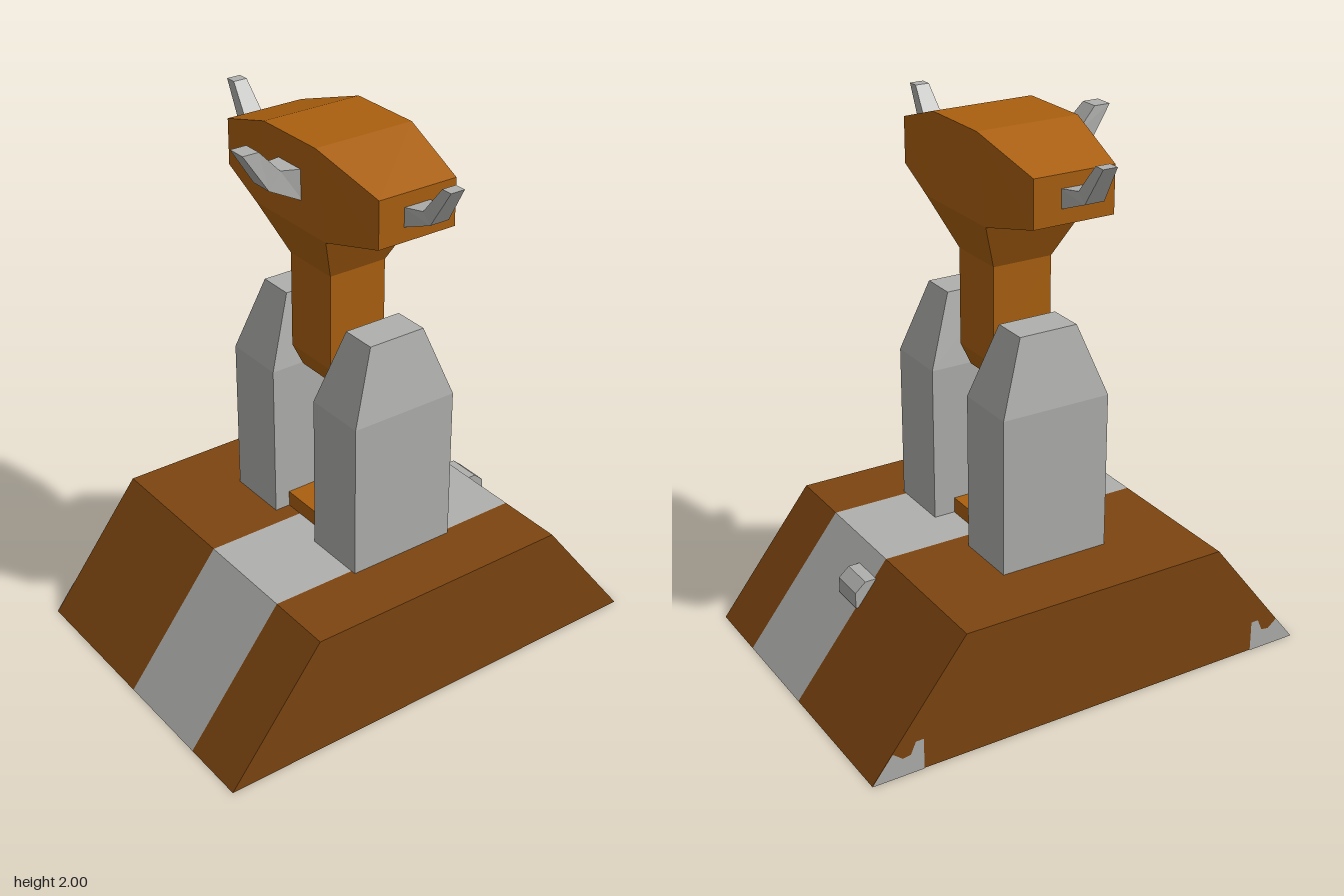
import * as THREE from 'three';

const material = (name, color) => {
  const m = new THREE.MeshStandardMaterial({ color, side: THREE.DoubleSide });
  m.name = name;
  return m;
};

// Skins a list of cross-section rings, flat shaded, with optional end caps
function loft(rings, { closed = true, start = true, end = true } = {}) {
  const pos = [];
  const tri = (...pts) => pts.forEach((p) => pos.push(...p));
  const n = rings[0].length;
  for (let r = 0; r + 1 < rings.length; r++) {
    const a = rings[r], b = rings[r + 1];
    for (let i = 0; i < (closed ? n : n - 1); i++) {
      const j = (i + 1) % n;
      tri(a[i], a[j], b[j]);
      tri(a[i], b[j], b[i]);
    }
  }
  const last = rings[rings.length - 1];
  for (let i = 1; i + 1 < n; i++) {
    if (start) tri(rings[0][0], rings[0][i + 1], rings[0][i]);
    if (end) tri(last[0], last[i], last[i + 1]);
  }
  const g = new THREE.BufferGeometry();
  g.setAttribute('position', new THREE.Float32BufferAttribute(pos, 3));
  g.computeVertexNormals();
  return g;
}

// Horizontal rectangle at height y
const rectY = (y, x0, x1, z0, z1) => [[x1, y, z1], [x1, y, z0], [x0, y, z0], [x0, y, z1]];

// Upright rectangle facing z, whose lower and upper edges may lie at different z
const rectZ = (w, zb, yb, zt, yt) => [[w, yb, zb], [w, yt, zt], [-w, yt, zt], [-w, yb, zb]];

export function createModel() {
  const brown = material('brown base paint', 0x7d4510);
  const orange = material('orange paint', 0xaa600f);
  const grey = material('grey stone', 0xafafad);

  const model = new THREE.Group();
  const add = (name, geometry, mat, parent = model) => {
    const mesh = new THREE.Mesh(geometry, mat);
    mesh.name = name;
    parent.add(mesh);
    return mesh;
  };

  // Sloped base, open underneath, banded along z
  const base = new THREE.Group();
  base.name = 'base';
  model.add(base);
  const baseRing = (z) => [[0.885, 0, z], [0.52, 0.47, z], [-0.52, 0.47, z], [-0.885, 0, z]];
  const band = (name, z0, z1, mat, start, end) =>
    add(name, loft([baseRing(z0), baseRing(z1)], { closed: false, start, end }), mat, base);
  band('baseBack', -0.62, -0.05, brown, true, false);
  band('baseStripe', -0.05, 0.35, grey, false, false);
  band('baseFront', 0.35, 0.605, brown, false, true);

  // Worn grey patches at the lower corners of the back wall
  const patch = [[0.885, 0], [0.807, 0.1], [0.77, 0.07], [0.74, 0.075], [0.72, 0.12], [0.69, 0.12], [0.69, 0]];
  for (const s of [-1, 1]) {
    const shape = new THREE.Shape(patch.map(([x, y]) => new THREE.Vector2(s * x, y)));
    const mesh = add('cornerPatch', new THREE.ShapeGeometry(shape), grey, base);
    mesh.rotation.y = Math.PI;
    mesh.position.z = -0.623;
  }

  // Pair of tapered pillars
  for (const [name, z] of [['frontPillar', 0.248], ['backPillar', -0.24]]) {
    add(name, loft([
      rectY(0.465, -0.2, 0.222, z - 0.121, z + 0.121),
      rectY(1.06, -0.2, 0.222, z - 0.121, z + 0.121),
      rectY(1.325, -0.1, 0.125, z - 0.068, z + 0.068),
    ]), grey);
  }

  // Post standing through the base, with its side arm
  add('centrePost', loft([
    rectY(0, -0.07, 0.07, -0.07, 0.07),
    rectY(0.14, -0.14, 0.14, -0.125, 0.125),
    rectY(0.53, -0.14, 0.14, -0.125, 0.125),
  ]), orange);
  const arm = add('sideArm', new THREE.BoxGeometry(0.33, 0.22, 0.22), orange);
  arm.position.set(0.28, 0.31, 0);

  // Knob on the sloped side
  const knob = [[0.56, 0.315], [0.65, 0.315], [0.65, 0.375], [0.61, 0.41], [0.56, 0.41]];
  add('sideKnob', loft([-0.062, 0.068].map((z) => knob.map(([x, y]) => [x, y, z]))), grey);

  // Neck with a tapered lower end and a flared collar
  add('neck', loft([
    rectY(1.075, -0.09, 0.085, -0.09, 0.09),
    rectY(1.15, -0.118, 0.112, -0.115, 0.115),
    rectY(1.51, -0.118, 0.112, -0.115, 0.115),
    rectY(1.69, -0.198, 0.192, -0.2, 0.2),
  ]), orange);

  // Faceted head
  add('head', loft([
    rectZ(0.155, -0.427, 1.74, -0.427, 1.91),
    rectZ(0.195, -0.2, 1.69, -0.145, 2),
    rectZ(0.195, 0.2, 1.69, 0.145, 2),
    rectZ(0.155, 0.427, 1.74, 0.427, 1.91),
  ]), orange).position.x = -0.003;

  // Bent horns on the two ends and on one side
  const endHorn = loft([
    rectZ(0.053, 0.42, 1.79, 0.42, 1.86),
    rectZ(0.037, 0.537, 1.835, 0.5, 1.87),
    rectZ(0.027, 0.62, 1.97, 0.577, 1.97),
  ]);
  add('frontHorn', endHorn, grey).position.x = -0.005;
  const backHorn = add('backHorn', endHorn, grey);
  backHorn.rotation.y = Math.PI;
  backHorn.position.x = -0.005;
  add('sideHorn', loft([
    rectZ(0.065, 0.19, 1.787, 0.19, 1.9),
    rectZ(0.045, 0.31, 1.845, 0.265, 1.905),
    rectZ(0.036, 0.402, 1.985, 0.34, 1.985),
  ]), grey).rotation.y = -Math.PI / 2;

  return model;
}
